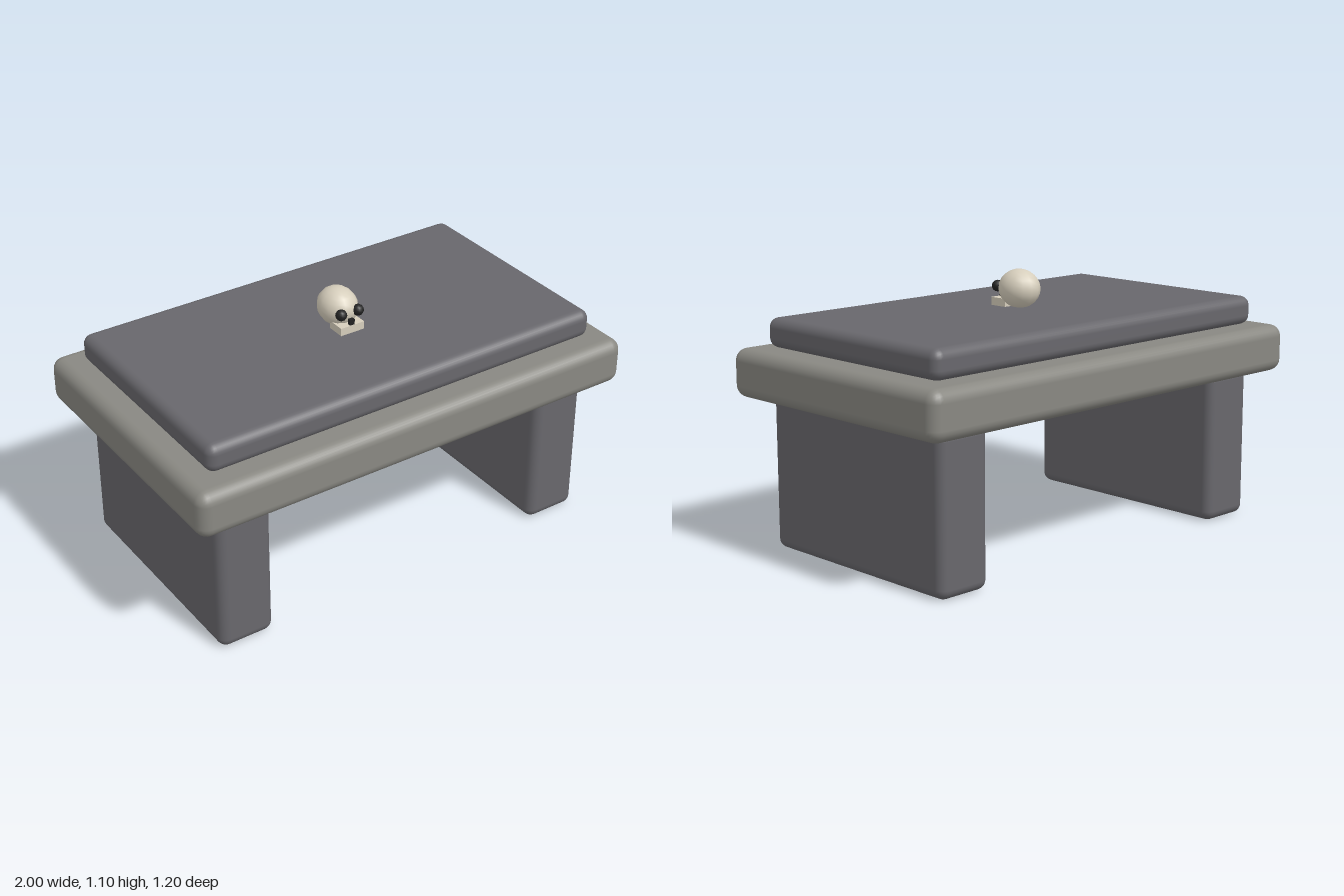
import * as THREE from 'three';
import { RoundedBoxGeometry } from 'three/addons/geometries/RoundedBoxGeometry.js';

const material = (color) => new THREE.MeshStandardMaterial({ color });

export function createModel() {
  const model = new THREE.Group();
  model.name = 'stoneAltar';

  const darkStone = material(0x68676c);
  const paleStone = material(0x898882);
  const bone = material(0xd6cebc);
  const black = material(0x222222);

  function add(parent, name, geometry, mat, x, y, z) {
    const mesh = new THREE.Mesh(geometry, mat);
    mesh.name = name;
    mesh.position.set(x, y, z);
    parent.add(mesh);
    return mesh;
  }

  // Rounded stone block spanning a height range
  function block(name, width, depth, y0, y1, radius, mat, x = 0) {
    const geometry = new RoundedBoxGeometry(width, y1 - y0, depth, 3, radius);
    add(model, name, geometry, mat, x, (y0 + y1) / 2, 0);
  }

  // Two slab legs and the stacked table top
  block('leftLeg', 0.24, 1, 0, 0.64, 0.04, darkStone, 0.76);
  block('rightLeg', 0.24, 1, 0, 0.64, 0.04, darkStone, -0.76);
  block('tableSlab', 2, 1.2, 0.624, 0.822, 0.05, paleStone);
  block('topSlab', 1.8, 1, 0.824, 0.944, 0.04, darkStone);

  // Small skull resting on the top
  const skull = new THREE.Group();
  skull.name = 'skull';
  model.add(skull);
  const cranium = add(skull, 'cranium', new THREE.SphereGeometry(0.08, 14, 12), bone, 0, 1.018, -0.008);
  cranium.scale.z = 1.15;
  add(skull, 'jaw', new THREE.BoxGeometry(0.11, 0.034, 0.08), bone, 0, 0.96, 0.06);
  for (const side of [1, -1]) {
    const name = side > 0 ? 'leftEyeSocket' : 'rightEyeSocket';
    add(skull, name, new THREE.SphereGeometry(0.024, 10, 8), black, side * 0.04, 1.024, 0.078);
  }
  add(skull, 'noseHole', new THREE.BoxGeometry(0.022, 0.028, 0.016), black, 0, 0.987, 0.09);

  return model;
}
